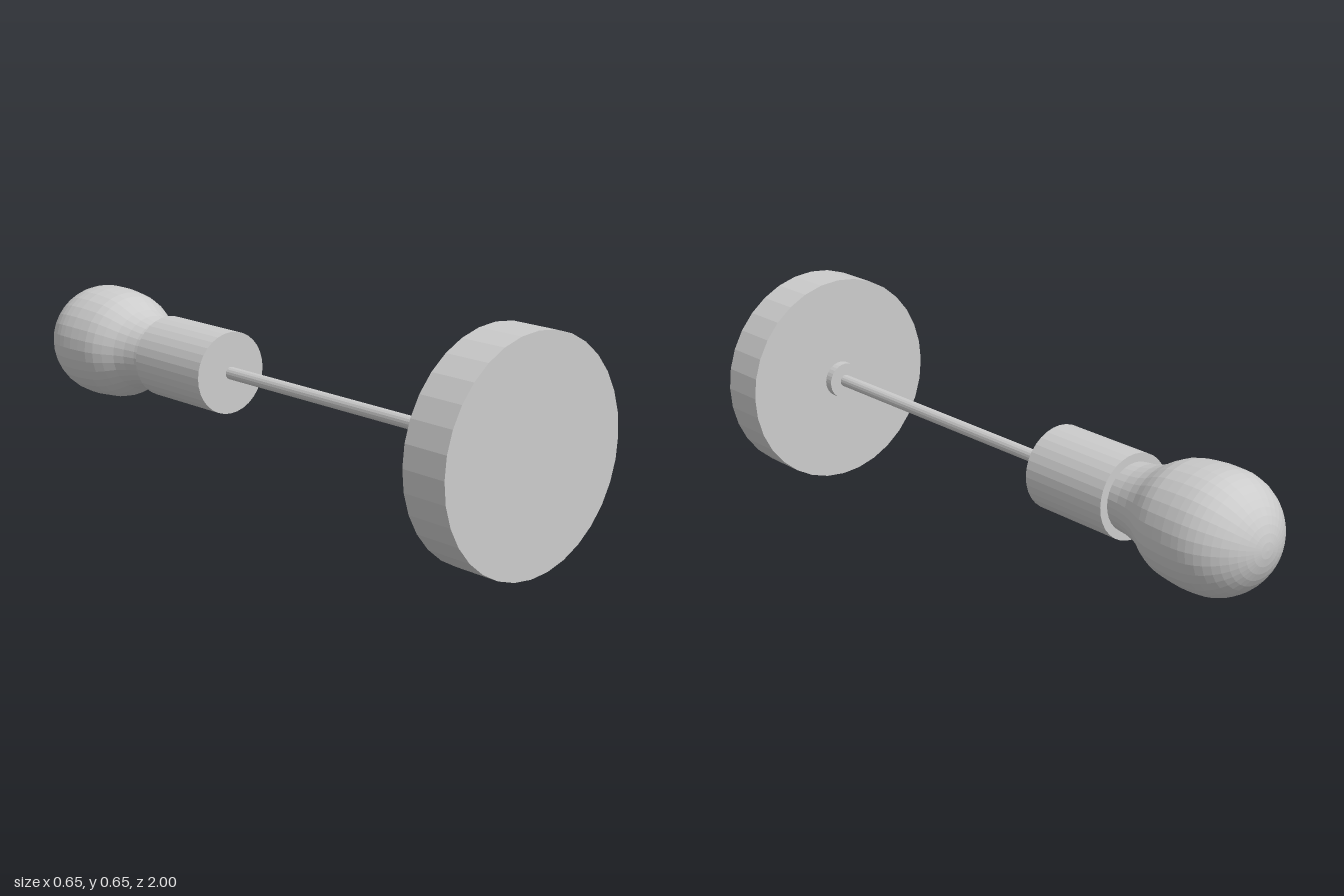
import * as THREE from 'three';

const AXIS_Y = 0.327;

export function createModel() {
  const group = new THREE.Group();
  const material = new THREE.MeshStandardMaterial({ color: 0xcccccc, flatShading: true });

  // Every part is a solid of revolution; its local +y is turned to point backwards (-z)
  function add(name, geometry, z) {
    geometry.rotateX(-Math.PI / 2);
    const mesh = new THREE.Mesh(geometry, material);
    mesh.name = name;
    mesh.position.set(0, AXIS_Y, z);
    group.add(mesh);
  }

  function addCylinder(name, radius, zFront, zBack, sides) {
    add(name, new THREE.CylinderGeometry(radius, radius, zFront - zBack, sides), (zFront + zBack) / 2);
  }

  addCylinder('basePlate', 0.327, 1, 0.855, 32);
  addCylinder('rodCollar', 0.057, 0.86, 0.828, 32);
  addCylinder('rod', 0.019, 0.84, -0.21, 16);
  addCylinder('socket', 0.125, -0.205, -0.51, 32);

  // Bulb: flared neck blending into a round globe (radius, distance behind the centre)
  const neck = [
    [0, 0.48], [0.1, 0.48], [0.1, 0.51], [0.104, 0.55], [0.113, 0.59], [0.126, 0.625],
    [0.146, 0.66], [0.16, 0.69], [0.168, 0.72], [0.172, 0.755], [0.175, 0.79],
  ].map(([r, d]) => new THREE.Vector2(r, d));
  const globe = [];
  const steps = 12;
  for (let i = 0; i <= steps; i++) {
    const a = (i / steps) * Math.PI / 2;
    globe.push(new THREE.Vector2(i === steps ? 0 : 0.175 * Math.cos(a), 0.825 + 0.175 * Math.sin(a)));
  }
  add('bulb', new THREE.LatheGeometry([...neck, ...globe], 32), 0);

  return group;
}
